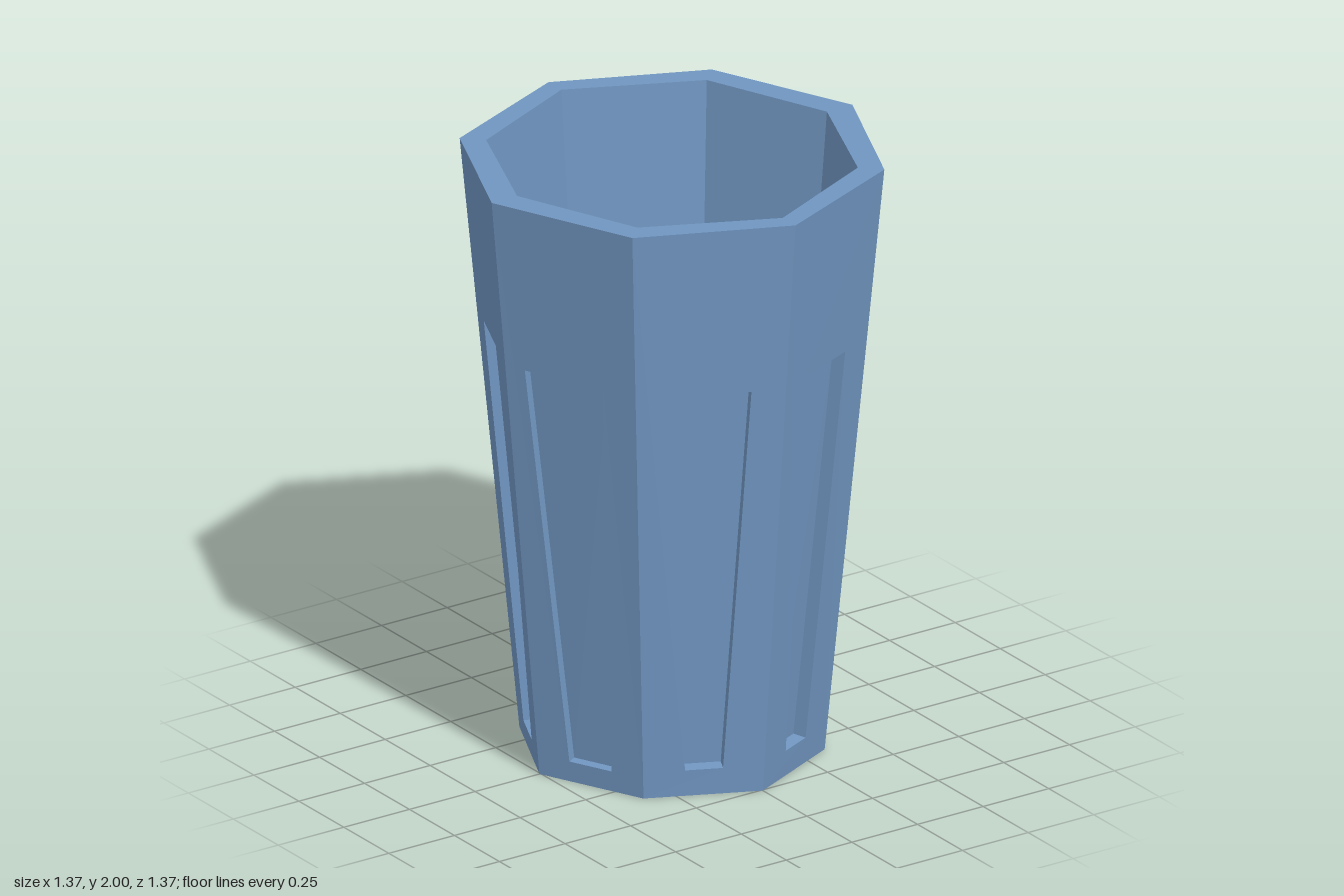
import * as THREE from 'three';

const SIDES = 8, HEIGHT = 2;

// Octagon with corners on the axes: x radius, z radius and diagonal offset
function ring(rx, rz, diag, y) {
  return Array.from({ length: SIDES }, (_, k) => {
    const a = (k * Math.PI) / 4;
    const c = Math.round(Math.cos(a)), s = Math.round(Math.sin(a));
    return k % 2 ? new THREE.Vector3(c * diag, y, s * diag) : new THREE.Vector3(c * rx, y, s * rz);
  });
}
const centre = (y) => Array(SIDES).fill(new THREE.Vector3(0, y, 0));

// Collects counter-clockwise quads and turns them into a flat-shaded mesh
class Surface {
  points = [];
  tri(a, b, c) {
    if (a !== b && b !== c && c !== a) this.points.push(a, b, c);
  }
  quad(a, b, c, d) {
    this.tri(a, b, c);
    this.tri(a, c, d);
  }
  // Band between two rings, following the cup's section
  band(from, to) {
    for (let k = 0; k < SIDES; k++) {
      const n = (k + 1) % SIDES;
      this.quad(from[n], from[k], to[k], to[n]);
    }
    return this;
  }
  // Four quads joining two four-cornered loops
  frame(outer, inner) {
    for (let i = 0; i < 4; i++) {
      const j = (i + 1) % 4;
      this.quad(outer[i], outer[j], inner[j], inner[i]);
    }
  }
  mesh(name, material) {
    const geometry = new THREE.BufferGeometry().setFromPoints(this.points);
    geometry.computeVertexNormals();
    const mesh = new THREE.Mesh(geometry, material);
    mesh.name = name;
    return mesh;
  }
}

// Panel extents, measured across a facet from its axis corner to its diagonal corner
const SIDE_PANEL = { bottom: [0.3, 0.7], top: [0.15, 0.75], y: [0.07, 1.43], depth: 0.03 };
const FRONT_PANEL = { bottom: [0.34, 0.655], top: [0.23, 0.73], y: [0.09, 1.42], depth: 0.045 };

export function createModel() {
  const group = new THREE.Group();
  group.name = 'octagonalCup';
  const material = new THREE.MeshStandardMaterial({ color: 0x7095c0, flatShading: true });

  const outerBottom = ring(0.505, 0.505, 0.345, 0);
  const outerTop = ring(0.687, 0.687, 0.48, HEIGHT);
  const innerTop = ring(0.59, 0.615, 0.42, HEIGHT);
  const innerBottom = ring(0.443, 0.455, 0.313, 0.2);
  const footEdge = ring(0.435, 0.435, 0.3, 0);
  const footRecess = ring(0.435, 0.435, 0.3, 0.07);

  // Outer facets, each with a tapered sunken panel
  const wall = new Surface(), panels = new Surface();
  for (let k = 0; k < SIDES; k++) {
    const n = (k + 1) % SIDES;
    const spec = [0, 3, 4, 7].includes(k) ? SIDE_PANEL : FRONT_PANEL;
    const facet = [outerBottom[n], outerBottom[k], outerTop[k], outerTop[n]];
    const at = (u, y) => {
      const right = facet[1].clone().lerp(facet[2], y / HEIGHT);
      return right.lerp(facet[0].clone().lerp(facet[3], y / HEIGHT), u);
    };
    const span = ([a, b]) => (k % 2 ? [1 - b, 1 - a] : [a, b]);
    const [b0, b1] = span(spec.bottom), [t0, t1] = span(spec.top);
    const opening = [at(b1, spec.y[0]), at(b0, spec.y[0]), at(t0, spec.y[1]), at(t1, spec.y[1])];
    const inward = new THREE.Triangle(facet[0], facet[1], facet[2])
      .getNormal(new THREE.Vector3()).multiplyScalar(-spec.depth);
    const back = opening.map((p) => p.clone().add(inward));
    wall.frame(facet, opening);
    panels.frame(opening, back);
    panels.quad(...back);
  }
  group.add(wall.mesh('outerWall', material), panels.mesh('sunkenPanels', material));

  // Rim, hollow inside and recessed foot
  group.add(
    new Surface().band(outerTop, innerTop).mesh('rim', material),
    new Surface().band(innerTop, innerBottom).mesh('innerWall', material),
    new Surface().band(innerBottom, centre(0.2)).mesh('innerFloor', material),
    new Surface().band(centre(0.07), footRecess).band(footRecess, footEdge)
      .band(footEdge, outerBottom).mesh('foot', material),
  );
  return group;
}
